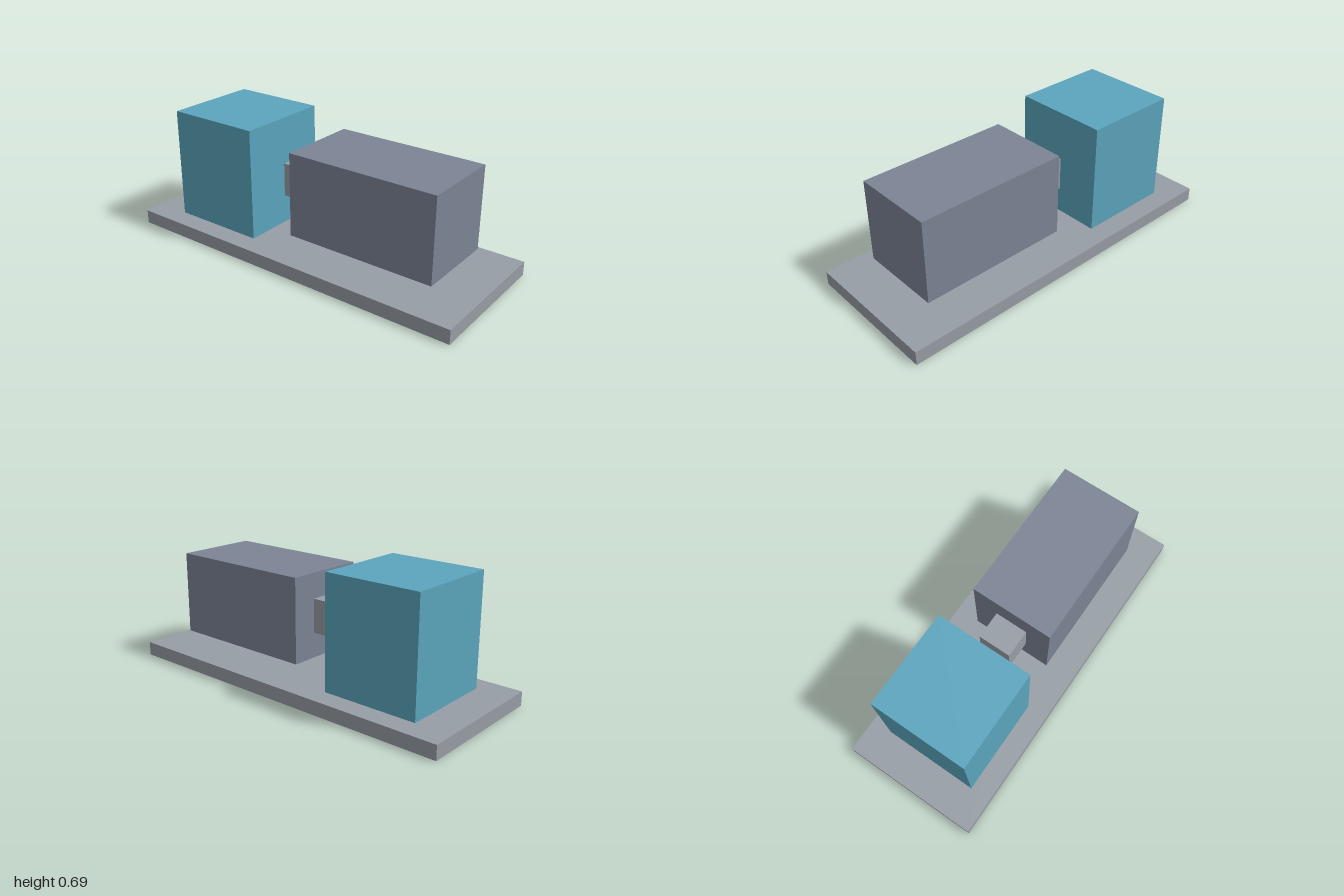
import * as THREE from 'three';

// Adds a box given its extents along x and y and its half depth along z
function addBox(group, name, color, [x0, x1], [y0, y1], halfDepth) {
  const mesh = new THREE.Mesh(
    new THREE.BoxGeometry(x1 - x0, y1 - y0, halfDepth * 2),
    new THREE.MeshStandardMaterial({ color })
  );
  mesh.name = name;
  mesh.position.set((x0 + x1) / 2, (y0 + y1) / 2, 0);
  group.add(mesh);
}

export function createModel() {
  const group = new THREE.Group();
  group.name = 'pumpSet';
  const steel = 0x979ea5;

  // Flat base plate
  addBox(group, 'basePlate', steel, [-1, 1], [0, 0.077], 0.385);
  // Tall housing standing on the plate
  addBox(group, 'pumpHousing', 0x5ba5be, [-0.808, -0.269], [0.077, 0.692], 0.269);
  // Motor block raised above the plate
  addBox(group, 'motorBlock', 0x7c8596, [-0.038, 0.808], [0.154, 0.615], 0.231);
  // Square coupling on the motor's end, pointing at the housing
  addBox(group, 'coupling', steel, [-0.192, -0.038], [0.292, 0.477], 0.092);

  return group;
}
